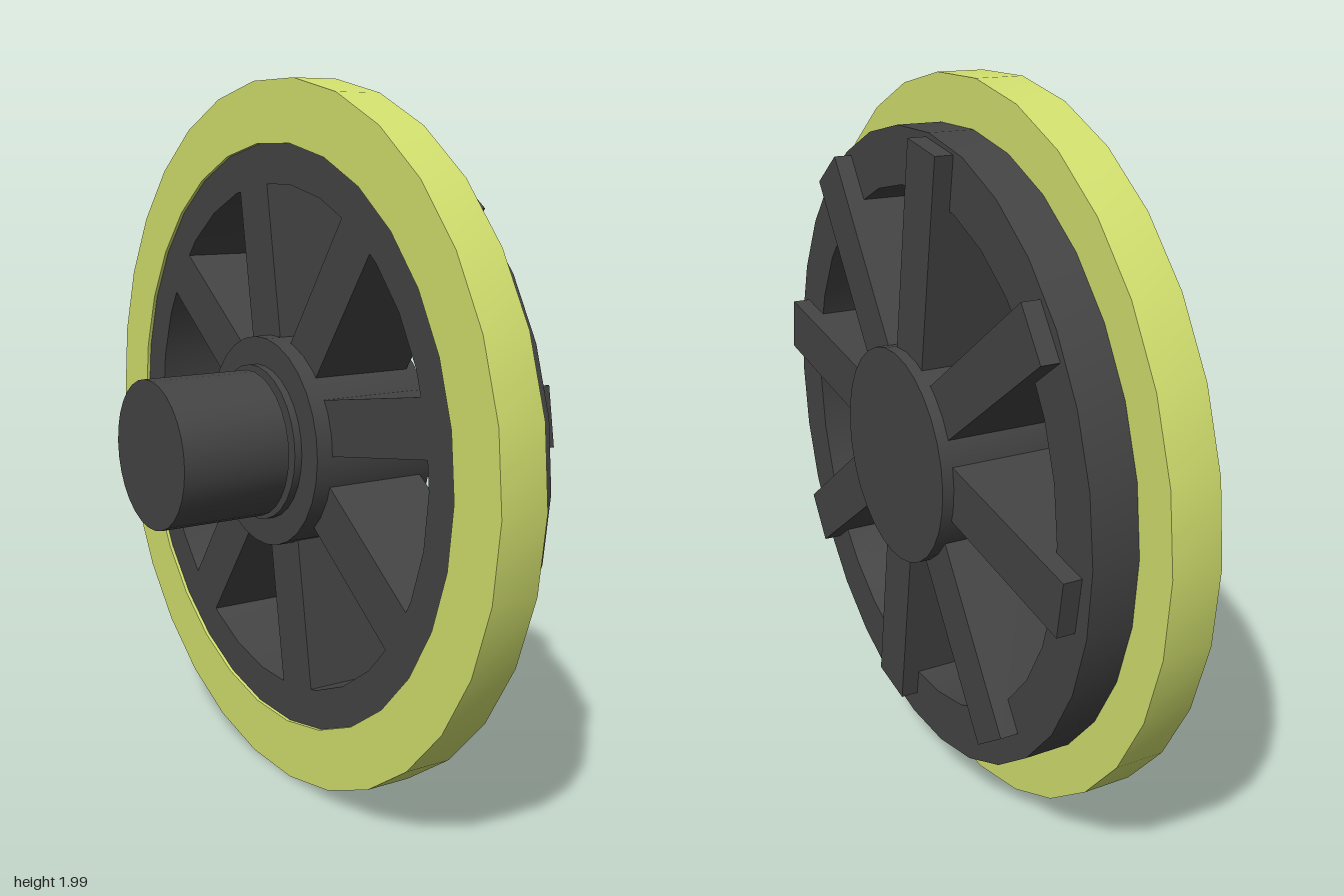
import * as THREE from 'three';
import { toCreasedNormals } from 'three/addons/utils/BufferGeometryUtils.js';

const SIDES = 30;
const CENTRE_Y = 0.995;

const dark = new THREE.MeshStandardMaterial({ color: 0x444444 });
const yellow = new THREE.MeshStandardMaterial({ color: 0xd2e06e });

// Ring or disc turned about the x axis, from x0 to x1
function turned(name, material, inner, outer, x0, x1) {
  const profile = inner > 0
    ? [[inner, x0], [outer, x0], [outer, x1], [inner, x1], [inner, x0]]
    : [[0, x0], [outer, x0], [outer, x1], [0, x1]];
  const lathe = new THREE.LatheGeometry(profile.map(([r, x]) => new THREE.Vector2(r, x)), SIDES);
  lathe.rotateZ(-Math.PI / 2);
  const mesh = new THREE.Mesh(toCreasedNormals(lathe, 0.6), material);
  mesh.name = name;
  mesh.position.y = CENTRE_Y;
  return mesh;
}

export function createModel() {
  const model = new THREE.Group();
  model.name = 'wheel';

  // Rim: wide flange and the narrower tread beside it
  model.add(turned('flange', yellow, 0.83, 1, 0.02, 0.155));
  model.add(turned('tread', dark, 0.72, 0.873, 0.03, 0.28));

  // Hub, collar and axle stub
  model.add(turned('hub', dark, 0, 0.298, -0.018, 0.362));
  model.add(turned('collar', dark, 0, 0.22, -0.04, -0.018));
  const axle = turned('axle', dark, 0, 0.207, -0.37, -0.055);
  axle.position.z = 0.007;
  model.add(axle);

  // Eight deep spokes, set slightly above the hub centre
  const spokes = new THREE.Group();
  spokes.name = 'spokes';
  spokes.position.set(0.18, 1.026, -0.005);
  const bar = new THREE.BoxGeometry(0.3, 0.625, 0.152).translate(0, 0.5125, 0);
  for (let i = 0; i < 8; i++) {
    const spoke = new THREE.Mesh(bar, dark);
    spoke.name = 'spoke';
    spoke.rotation.x = THREE.MathUtils.degToRad(-10 + i * 45);
    spokes.add(spoke);
  }
  model.add(spokes);

  return model;
}
